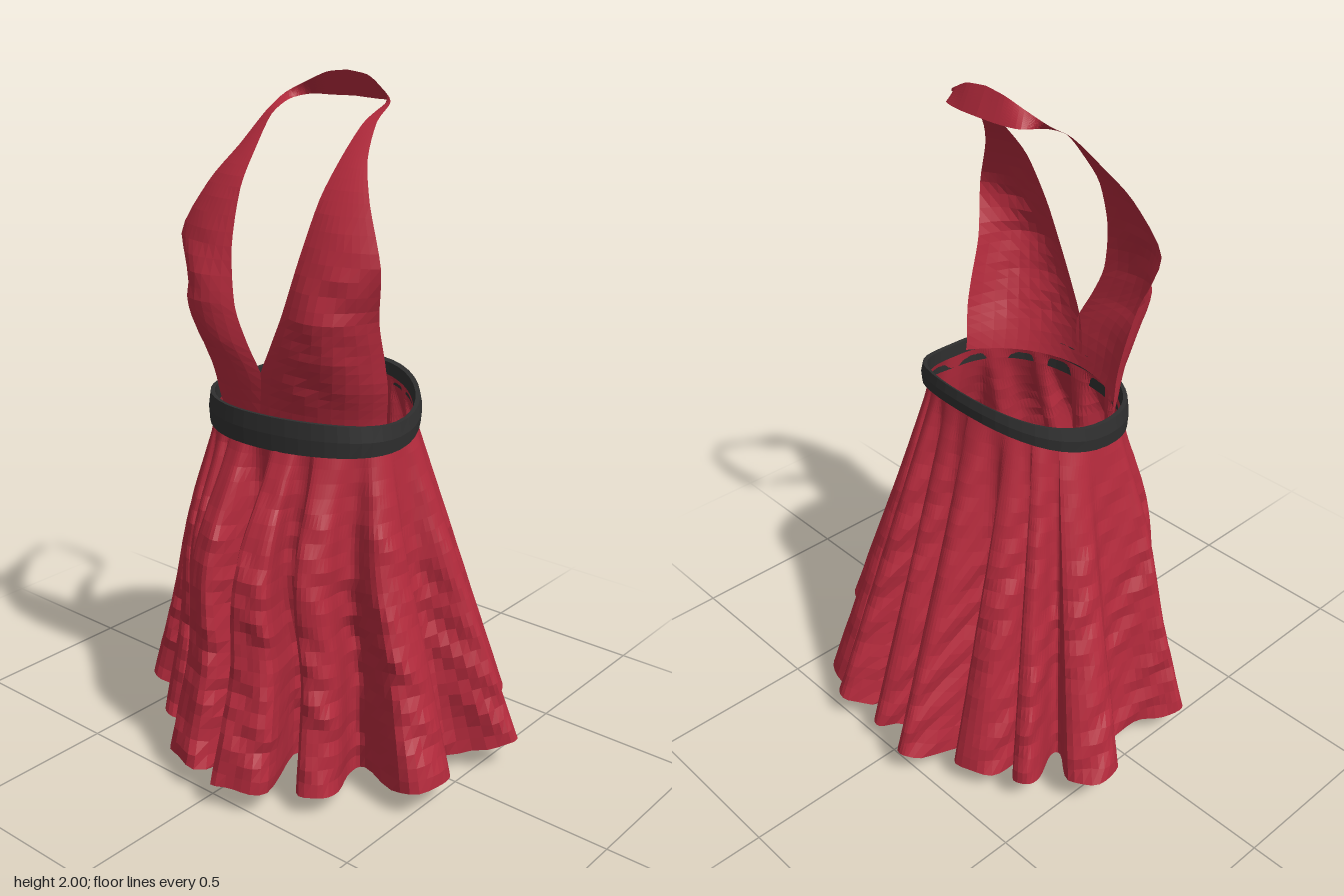
import * as THREE from 'three';

const red = new THREE.MeshStandardMaterial({ color: 0xb32a3c, flatShading: true, side: THREE.DoubleSide });
red.name = 'red cloth';
const black = new THREE.MeshStandardMaterial({ color: 0x2f2f2f, flatShading: true, side: THREE.DoubleSide });
black.name = 'black belt';

// Grid surface: fn(u, v) returns a point, u and v in 0..1
function surface(name, nu, nv, material, fn) {
  const geo = new THREE.PlaneGeometry(1, 1, nu, nv);
  const pos = geo.attributes.position, uv = geo.attributes.uv;
  for (let i = 0; i < pos.count; i++) {
    const p = fn(uv.getX(i), uv.getY(i));
    pos.setXYZ(i, p.x, p.y, p.z);
  }
  geo.computeVertexNormals();
  const mesh = new THREE.Mesh(geo, material);
  mesh.name = name;
  return mesh;
}

// Smooth crumple in the range -1..1
const crumple = (x, y, z) =>
  (Math.sin(23 * x + 17 * y + 3) * Math.sin(13 * z - 29 * y) + Math.sin(41 * y + 29 * x - 37 * z) * Math.sin(19 * y + 7 * x)) / 2;

// Waist outline: rounded ring that rises towards the back; angle 0 is the front
const WAIST_Z = 0.06;
const square = (c) => Math.sign(c) * Math.pow(Math.abs(c), 0.9);
function waist(angle, scale = 1) {
  const c = square(Math.cos(angle));
  const z = WAIST_Z + c * (c > 0 ? 0.22 : 0.26) * scale;
  const rise = Math.max(0, 0.08 - z);
  return new THREE.Vector3(square(Math.sin(angle)) * 0.31 * scale, 1.055 + rise * rise, z);
}

// Hem folds: tip x, z and half width, then x, z and half width of the valley that follows
const FOLDS = [
  [0.12, 0.54, 0.085, 0.09, 0.20, 0.035],
  [0.31, 0.40, 0.06, 0.27, 0.17, 0.025],
  [0.55, 0.17, 0.09, 0.45, 0.02, 0.05],
  [0.60, -0.17, 0.045, 0.38, -0.20, 0.02],
  [0.35, -0.46, 0.09, 0.18, -0.33, 0.015],
  [0.24, -0.52, 0.045, 0.06, -0.30, 0.02],
  [0.07, -0.51, 0.04, -0.03, -0.35, 0.02],
  [-0.10, -0.55, 0.04, -0.20, -0.30, 0.02],
  [-0.30, -0.43, 0.08, -0.34, -0.25, 0.015],
  [-0.44, -0.36, 0.04, -0.40, -0.20, 0.015],
  [-0.59, -0.21, 0.08, -0.47, 0.02, 0.05],
  [-0.55, 0.20, 0.045, -0.36, 0.19, 0.02],
  [-0.38, 0.32, 0.055, -0.25, 0.25, 0.015],
  [-0.25, 0.39, 0.045, -0.10, 0.18, 0.03],
  [-0.13, 0.51, 0.085, 0.0, 0.09, 0.04],
];

function makeSkirt() {
  const points = [], angles = [], turn = 2 * Math.PI;
  // Adds points across a tip or valley, set back by depth at both sides
  const addAcross = (x, z, w, sides, depth) => {
    const out = new THREE.Vector3(x, 0, z - 0.03).normalize();
    const along = new THREE.Vector3(out.z, 0, -out.x);
    for (const s of sides) {
      points.push(new THREE.Vector3(x, 0, z).addScaledVector(along, s * w).addScaledVector(out, -Math.abs(s) * depth));
    }
  };
  FOLDS.forEach(([x, z, w, vx, vz, vw], i) => {
    addAcross(x, z, w, [-1, 0, 1], 0.045);
    addAcross(vx, vz, vw, [-1, 1], 0);
    // Waist angle of each point, spread evenly between neighbouring folds
    const next = FOLDS[(i + 1) % FOLDS.length];
    const a = (Math.atan2(x, z - 0.03) + turn) % turn;
    let b = Math.atan2(next[0], next[1] - 0.03);
    while (b < a) b += turn;
    for (let k = -1; k < 4; k++) angles.push(a + (b - a) * k / 5);
  });
  const n = points.length;
  angles.push(angles[0] + turn);
  const hem = new THREE.CatmullRomCurve3(points, true, 'catmullrom', 0.5);

  return surface('skirt', n * 4, 26, red, (u, v) => {
    const t = 1 - v;
    const f = Math.min(u * n, n - 1e-6), k = Math.floor(f);
    const angle = THREE.MathUtils.lerp(angles[k], angles[k + 1], f - k);
    const top = waist(angle, 0.965);
    const low = hem.getPoint(u % 1);
    low.y = 0.003 + 0.26 * (low.x * low.x + low.z * low.z);
    const p = top.clone().lerp(low, t);
    // Puffed front below the belt
    p.z += 0.07 * Math.pow(Math.sin(Math.PI * Math.min(1, t / 0.75)), 2) * Math.max(0, Math.cos(angle));
    const c = 0.011 * crumple(p.x, p.y, p.z) * Math.min(1, t * 2);
    p.x += c;
    p.z += c;
    return p;
  });
}

function makeBelt() {
  // Closed band section: radial offset and height factor
  const section = [[-0.004, -1], [0.011, -1], [0.014, 0], [0.008, 1], [-0.004, 1], [-0.004, -1]];
  return surface('belt', 48, 5, black, (u, v) => {
    const a = u * 2 * Math.PI;
    const [d, h] = section[Math.round(v * 5)];
    const p = waist(a, 1 + d / 0.28);
    p.y += h * (0.039 + 0.009 * Math.cos(a)) + 0.004 * Math.sin(3 * a);
    return p;
  });
}

// Halter sections from waist to nape: inner edge xyz, outer edge xyz, outward bulge
const HALTER = [
  [-0.01, 1.06, 0.272, 0.3, 1.06, 0.09, 0.05],
  [-0.008, 1.2, 0.285, 0.305, 1.16, 0.11, 0.075],
  [0.04, 1.3, 0.295, 0.31, 1.28, 0.14, 0.09],
  [0.085, 1.4, 0.295, 0.32, 1.4, 0.18, 0.085],
  [0.12, 1.55, 0.265, 0.356, 1.55, 0.222, 0.03],
  [0.14, 1.7, 0.205, 0.285, 1.7, 0.18, 0.01],
  [0.15, 1.8, 0.13, 0.225, 1.8, 0.115, 0.004],
  [0.16, 1.88, 0.055, 0.195, 1.885, 0.04, 0],
  [0.16, 1.915, -0.02, 0.185, 1.93, -0.03, 0],
  [0.14, 1.925, -0.088, 0.125, 1.965, -0.06, 0],
  [0.075, 1.925, -0.104, 0.07, 1.99, -0.075, 0],
  [0, 1.927, -0.11, 0, 1.999, -0.075, 0],
];

function makeHalter(name, side) {
  const edge = (o) => new THREE.CatmullRomCurve3(
    HALTER.map((s) => new THREE.Vector3(s[o], s[o + 1], s[o + 2])), false, 'catmullrom', 0.4);
  const inner = edge(0), outer = edge(3), last = HALTER.length - 1;
  return surface(name, 10, 44, red, (u, v) => {
    const a = inner.getPoint(v), b = outer.getPoint(v);
    const k = Math.min(Math.floor(v * last), last - 1);
    const bulge = THREE.MathUtils.lerp(HALTER[k][6], HALTER[k + 1][6], v * last - k);
    const normal = new THREE.Vector3(a.z - b.z, 0, b.x - a.x).normalize();
    const p = a.clone().lerp(b, u);
    const wrinkle = 0.008 * crumple(p.x * side, p.y, p.z) * THREE.MathUtils.clamp((p.y - 1.1) * 10, 0, 1) * Math.min(1, bulge / 0.05);
    p.addScaledVector(normal, 4 * u * (1 - u) * (bulge + wrinkle));
    // The neckline sits slightly to one side
    p.x = p.x * side + 0.016 * THREE.MathUtils.clamp((p.y - 1.1) / 0.1, 0, 1);
    return p;
  });
}

export function createModel() {
  const dress = new THREE.Group();
  dress.name = 'halter dress';
  dress.add(makeSkirt(), makeBelt(), makeHalter('leftHalter', 1), makeHalter('rightHalter', -1));
  return dress;
}
